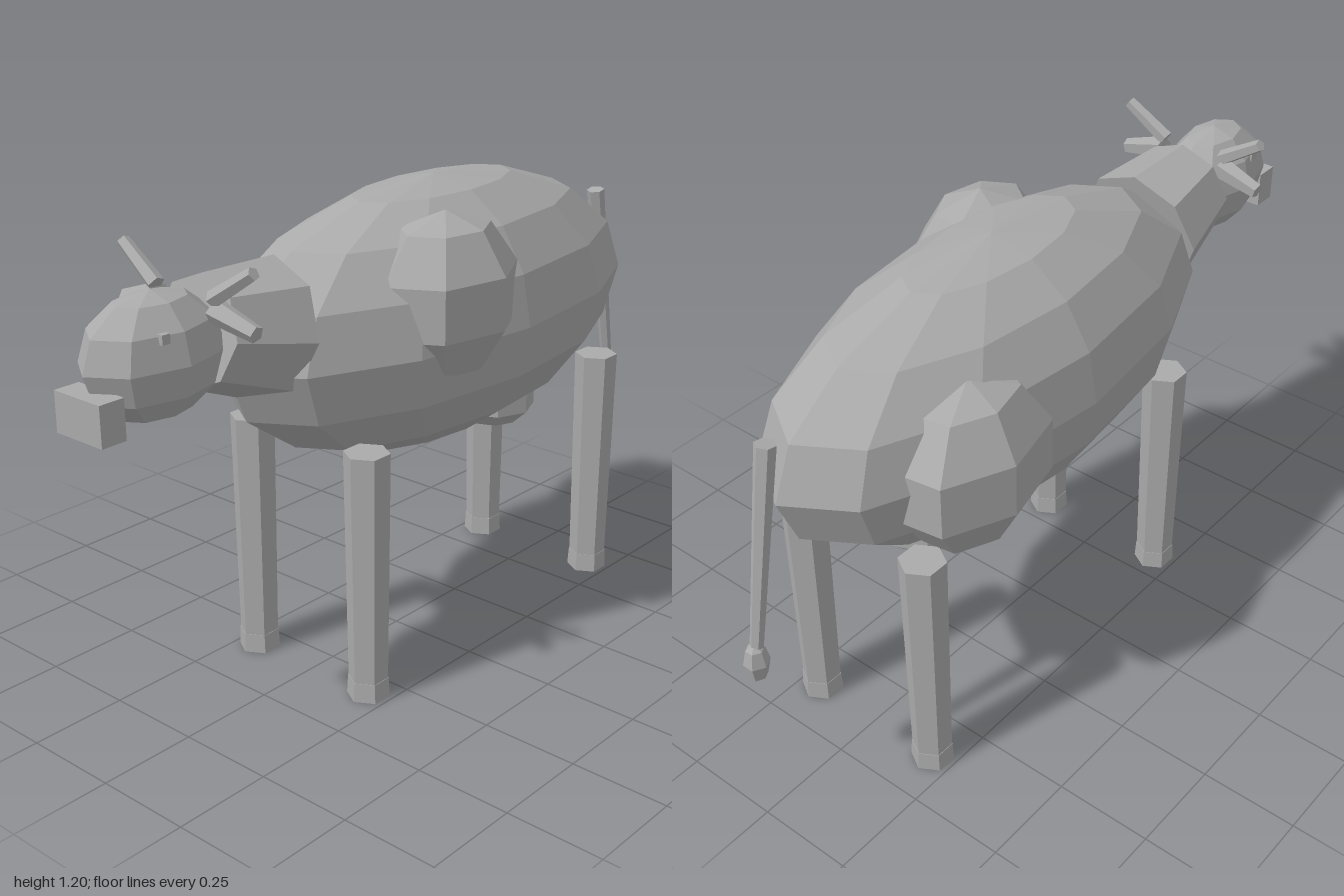
import * as THREE from 'three';

const hide = new THREE.MeshStandardMaterial({ color: 0xaaaaaa, flatShading: true });
hide.name = 'grey hide';

export function createModel() {
  const cow = new THREE.Group();
  cow.name = 'cow';

  const add = (name, geometry, x, y, z) => {
    const mesh = new THREE.Mesh(geometry, hide);
    mesh.name = name;
    mesh.position.set(x, y, z);
    cow.add(mesh);
    return mesh;
  };

  // Faceted ellipsoid, optionally turned about its upright axis before scaling
  const blob = (name, sides, rings, radii, centre, turn = 0) => {
    const geometry = new THREE.SphereGeometry(1, sides, rings);
    geometry.rotateY(turn);
    geometry.scale(...radii);
    return add(name, geometry, ...centre);
  };

  // Tapered prism running between two points
  const limb = (name, from, to, rFrom, rTo, sides) => {
    const a = new THREE.Vector3(...from);
    const b = new THREE.Vector3(...to);
    const dir = b.clone().sub(a);
    const geometry = new THREE.CylinderGeometry(rTo, rFrom, dir.length(), sides);
    const mid = a.add(b).multiplyScalar(0.5);
    const mesh = add(name, geometry, mid.x, mid.y, mid.z);
    mesh.quaternion.setFromUnitVectors(new THREE.Vector3(0, 1, 0), dir.normalize());
    return mesh;
  };

  // Body with a raised patch on each flank, and the udder
  blob('body', 12, 8, [0.31, 0.34, 0.72], [0, 0.86, -0.14]);
  blob('leftPatch', 7, 5, [0.165, 0.21, 0.222], [0.19, 0.96, 0.045], Math.PI + 0.17);
  blob('rightPatch', 7, 5, [0.165, 0.218, 0.235], [-0.195, 0.838, -0.455], -0.12);
  blob('udder', 8, 5, [0.12, 0.08, 0.12], [0, 0.537, -0.405]);

  // Neck, head and muzzle
  limb('neck', [0, 0.94, 0.458], [0, 0.984, 0.667], 0.17, 0.13, 8);
  blob('head', 8, 6, [0.12, 0.145, 0.19], [0, 0.963, 0.79]);
  add('muzzle', new THREE.BoxGeometry(0.145, 0.095, 0.065), 0, 0.876, 0.967);

  for (const s of [1, -1]) {
    const side = s > 0 ? 'left' : 'right';
    // Eyes, horns and ears
    add(side + 'Eye', new THREE.BoxGeometry(0.02, 0.022, 0.022), s * 0.091, 1.03, 0.838);
    limb(side + 'Horn', [s * 0.09, 1.08, 0.695], [s * 0.205, 1.156, 0.685], 0.021, 0.016, 5);
    limb(side + 'Ear', [s * 0.09, 1.055, 0.69], [s * 0.208, 1.025, 0.685], 0.03, 0.02, 5);

    // Legs and hooves
    for (const [end, z] of [['Front', 0.326], ['Back', -0.62]]) {
      add(side + end + 'Leg', new THREE.CylinderGeometry(0.057, 0.049, 0.645, 6), s * 0.19, 0.3225, z);
      add(side + end + 'Hoof', new THREE.CylinderGeometry(0.051, 0.054, 0.05, 6), s * 0.19, 0.025, z);
    }
  }

  // Tail and tuft
  limb('tail', [0, 1.03, -0.867], [0, 0.515, -0.963], 0.025, 0.016, 6);
  blob('tailTuft', 6, 4, [0.03, 0.057, 0.032], [0, 0.48, -0.967]);

  return cow;
}
